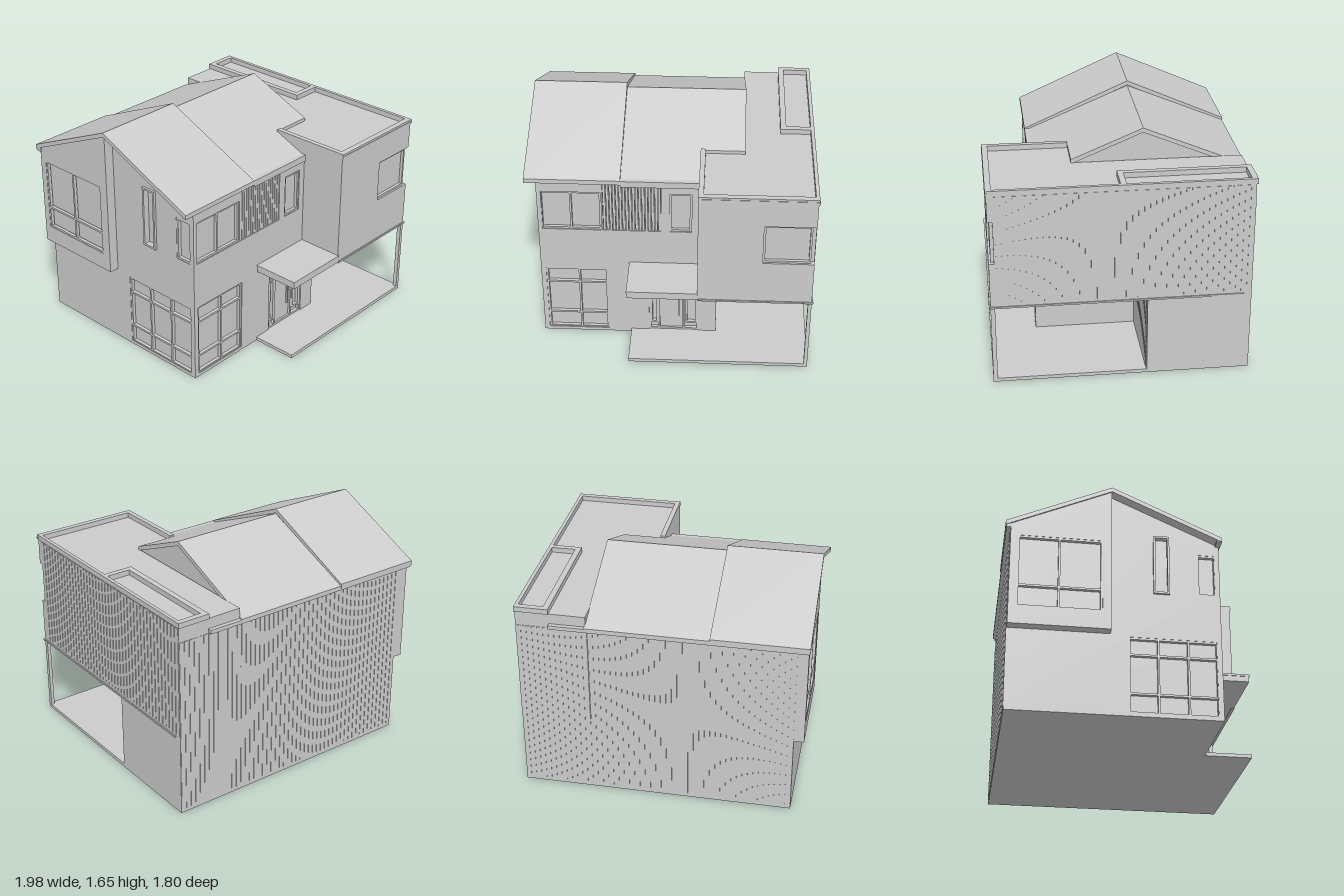
import * as THREE from 'three';
import { mergeGeometries } from 'three/addons/utils/BufferGeometryUtils.js';

const grey = new THREE.MeshStandardMaterial({ color: 0xcccccc, flatShading: true, side: THREE.DoubleSide });
const RIDGE_Z = -0.19, FRONT = 0.555, BACK = -0.87, FLOOR = 0.575, FLAT = 1.385;

function mesh(name, geometry) {
  const m = new THREE.Mesh(geometry, grey);
  m.name = name;
  return m;
}

// box from its two extreme corners
function boxGeo(x0, x1, y0, y1, z0, z1) {
  return new THREE.BoxGeometry(x1 - x0, y1 - y0, z1 - z0)
    .translate((x0 + x1) / 2, (y0 + y1) / 2, (z0 + z1) / 2);
}
const box = (name, ...c) => mesh(name, boxGeo(...c));

const rect = (x0, x1, y0, y1) => [[x0, y0], [x1, y0], [x1, y1], [x0, y1]];

function extrude(outline, holes, depth) {
  const pts = (list) => list.map(([a, b]) => new THREE.Vector2(a, b));
  const shape = new THREE.Shape(pts(outline));
  for (const h of holes) shape.holes.push(new THREE.Path(pts(h)));
  return new THREE.ExtrudeGeometry(shape, { depth, bevelEnabled: false });
}

// outline in x,y; runs from z0 to z1
const frontPanel = (name, outline, holes, z0, z1) =>
  mesh(name, extrude(outline, holes, z1 - z0).translate(0, 0, z0));
// outline in z,y; runs from x0 to x1
const sidePanel = (name, outline, holes, x0, x1) =>
  mesh(name, extrude(outline, holes, x1 - x0).rotateY(-Math.PI / 2).translate(x1, 0, 0));
// outline in x,z; runs from y0 to y1
const plate = (name, outline, holes, y0, y1) =>
  mesh(name, extrude(outline, holes, y1 - y0).rotateX(Math.PI / 2).translate(0, y1, 0));

// window frame with mullions (vs) and transoms (hs), in the x,y plane
function windowFrame(name, x0, x1, y0, y1, vs, hs, z, t = 0.014) {
  const bars = [];
  for (const x of [x0 + t / 2, ...vs, x1 - t / 2]) bars.push(boxGeo(x - t / 2, x + t / 2, y0, y1, -0.012, 0.012));
  for (const y of [y0 + t / 2, ...hs, y1 - t / 2]) bars.push(boxGeo(x0, x1, y - t / 2, y + t / 2, -0.012, 0.012));
  return mesh(name, mergeGeometries(bars).translate(0, 0, z));
}
function sideWindowFrame(name, z0, z1, y0, y1, vs, hs, x) {
  const m = windowFrame(name, z0, z1, y0, y1, vs, hs, 0);
  m.geometry.rotateY(-Math.PI / 2).translate(x, 0, 0);
  return m;
}

// row of thin vertical boards in the x,y plane
function boards(name, x0, x1, y0, y1, n, z, depth) {
  const p = (x1 - x0) / n, list = [];
  for (let i = 0; i < n; i++)
    list.push(boxGeo(x0 + (i + 0.1) * p, x0 + (i + 0.9) * p, y0, y1, -depth / 2, depth / 2));
  return mesh(name, mergeGeometries(list).translate(0, 0, z));
}

// chevron of roof between two z limits
function roof(name, x0, x1, peak, slope, zBack, zFront) {
  const t = 0.032, y = (z) => peak - slope * Math.abs(z - RIDGE_Z);
  return sidePanel(name, [
    [zBack, y(zBack)], [zBack, y(zBack) - t], [RIDGE_Z, peak - t], [zFront, y(zFront) - t],
    [zFront, y(zFront)], [RIDGE_Z, peak],
  ], [], x0, x1);
}

export function createModel() {
  const house = new THREE.Group();
  house.name = 'house';
  const add = (...parts) => house.add(...parts);
  const SL = 0.445, SR = 0.42, PL = 1.65, PR = 1.615;
  const under = (z) => PL - 0.025 - SL * Math.abs(z - RIDGE_Z);
  const underR = (z) => PR - 0.025 - SR * Math.abs(z - RIDGE_Z);

  // floor slab with porch and carport
  add(plate('floorSlab', [[-0.91, BACK], [0.98, BACK], [0.98, 0.885], [-0.28, 0.885], [-0.28, FRONT], [-0.91, FRONT]], [], 0, 0.025));

  // solid cores; their faces form the glass behind the wall openings
  add(box('groundFloorCore', -0.88, 0.33, 0.02, FLOOR, BACK, FRONT - 0.035));
  add(box('groundFloorRear', -0.91, 0.98, 0.02, FLOOR, BACK, -0.165));
  const zf = FRONT - 0.03;
  add(sidePanel('upperFloorCore', [[BACK, FLOOR], [zf, FLOOR], [zf, underR(zf)], [RIDGE_Z, underR(RIDGE_Z)], [BACK, underR(BACK)]], [], -0.88, 0.49));

  // front wall with windows, louvre recess and entrance
  add(frontPanel('frontWall', [[-0.91, 0], [0.33, 0], [0.33, FLOOR], [0.21, FLOOR], [0.21, 1.29], [-0.91, 1.29]], [
    rect(-0.875, -0.44, 0.02, 0.56), rect(-0.15, 0.205, 0.025, 0.56),
    rect(-0.89, -0.47, 0.9, 1.21), rect(-0.46, -0.06, 0.9, 1.275), rect(0, 0.15, 0.9, 1.21),
  ], FRONT - 0.035, FRONT));
  const fz = FRONT - 0.02;
  add(windowFrame('groundWindow', -0.875, -0.44, 0.02, 0.56, [-0.64], [0.16, 0.435], fz));
  add(windowFrame('upperWindow', -0.89, -0.47, 0.9, 1.21, [-0.68], [], fz));
  add(windowFrame('smallUpperWindow', 0, 0.15, 0.9, 1.21, [], [], fz));
  add(boards('louvres', -0.46, -0.06, 0.9, 1.275, 18, FRONT - 0.015, 0.02));

  // entrance with side lights and transom
  add(windowFrame('doorFrame', -0.15, 0.205, 0.025, 0.56, [-0.08, 0.1], [0.43], fz));
  add(box('frontDoor', -0.072, 0.09, 0.025, 0.42, FRONT - 0.035, FRONT - 0.022));
  add(box('doorHandle', 0.062, 0.07, 0.15, 0.3, FRONT - 0.03, FRONT - 0.01));
  for (const [a, b] of [[-0.14, -0.085], [0.11, 0.195]])
    add(windowFrame('sideLight', a, b, 0.085, 0.42, [], [], fz));

  // left gable wall
  add(sidePanel('leftWall', [[BACK, 0], [FRONT, 0], [FRONT, under(FRONT)], [RIDGE_Z, under(RIDGE_Z)], [BACK, under(BACK)]], [
    rect(-0.07, 0.53, 0.02, 0.56), rect(0.11, 0.2, 0.9, 1.32), rect(0.4, 0.53, 0.9, 1.21),
  ], -0.91, -0.88));
  add(sideWindowFrame('leftGroundWindow', -0.07, 0.53, 0.02, 0.56, [0.13, 0.33], [0.16, 0.435], -0.895));
  add(sideWindowFrame('leftCornerWindow', 0.4, 0.53, 0.9, 1.21, [], [], -0.895));
  add(sideWindowFrame('leftSlotWindow', 0.1, 0.21, 0.89, 1.33, [], [], -0.915));

  // projecting bay on the left
  add(sidePanel('bayFront', [[BACK, FLOOR], [RIDGE_Z, FLOOR], [RIDGE_Z, under(RIDGE_Z)], [BACK, under(BACK)]],
    [rect(-0.82, -0.25, 0.7, 1.23)], -0.98, -0.945));
  add(sidePanel('bayCore', [[BACK, FLOOR], [RIDGE_Z, FLOOR], [RIDGE_Z, under(RIDGE_Z)], [BACK, under(BACK)]], [], -0.945, -0.9));
  add(sideWindowFrame('bayWindow', -0.82, -0.25, 0.7, 1.23, [-0.54], [0.86], -0.965));

  // pitched roof in two heights, with eaves
  add(roof('leftRoof', -0.99, -0.335, PL, SL, -0.905, 0.565));
  add(roof('rightRoof', -0.335, 0.2, PR, SR, -0.9, 0.565));
  add(roof('rightRoofEnd', 0.2, 0.505, PR, SR, -0.9, 0.3));
  add(box('frontEave', -0.985, 0.2, 1.285, 1.312, 0.53, 0.565));
  add(box('backEave', -0.985, 0.75, 1.285, 1.312, -0.9, -0.86));

  // flat roofed block over the carport
  add(plate('sideBlock', [[0.2, 0.28], [0.5, 0.28], [0.5, BACK], [0.98, BACK], [0.98, 0.85], [0.2, 0.85]], [], FLOOR, FLAT));
  add(frontPanel('sideBlockFront', [[0.2, FLOOR], [0.98, FLOOR], [0.98, 0.9], [0.635, 0.9], [0.635, 1.2], [0.98, 1.2], [0.98, FLAT], [0.2, FLAT]], [], 0.85, 0.885));
  add(windowFrame('sideBlockWindow', 0.635, 0.955, 0.9, 1.2, [], [], 0.86));
  add(plate('parapet', [[0.2, 0.3], [0.2, 0.89], [0.985, 0.89], [0.985, 0.02], [0.96, 0.02], [0.96, 0.85], [0.235, 0.85], [0.235, 0.3]], [], FLAT, 1.422));
  add(plate('rearParapet', rect(0.75, 0.985, -0.88, 0.02), [rect(0.79, 0.96, -0.84, -0.02)], FLAT, 1.422));
  for (const y of [1.395, FLOOR - 0.006])
    add(box('frontTrim', 0.2, 0.99, y, y + 0.012, 0.87, 0.893));
  add(box('sideTrim', 0.96, 0.988, FLOOR - 0.006, FLOOR + 0.006, -0.82, 0.89));

  // porch canopy
  add(box('canopy', -0.28, 0.205, 0.575, 0.615, 0.53, 0.89));
  add(box('canopyCap', -0.285, 0.205, 0.615, 0.63, 0.53, 0.893));

  // carport post and slatted rear wall
  add(box('carportPost', 0.955, 0.98, 0.02, FLOOR, 0.855, 0.885));
  add(boards('carportSlats', 0.335, 0.96, 0.027, FLOOR, 24, -0.165, 0.01));

  // thin vertical cladding on the back and right walls
  add(boards('backCladding', -0.91, 0.98, 0.03, 1.28, 50, BACK, 0.006));
  const right = boards('rightCladding', BACK, 0.84, 0.6, 1.38, 44, 0, 0.006);
  right.geometry.rotateY(-Math.PI / 2).translate(0.98, 0, 0);
  add(right);

  return house;
}
